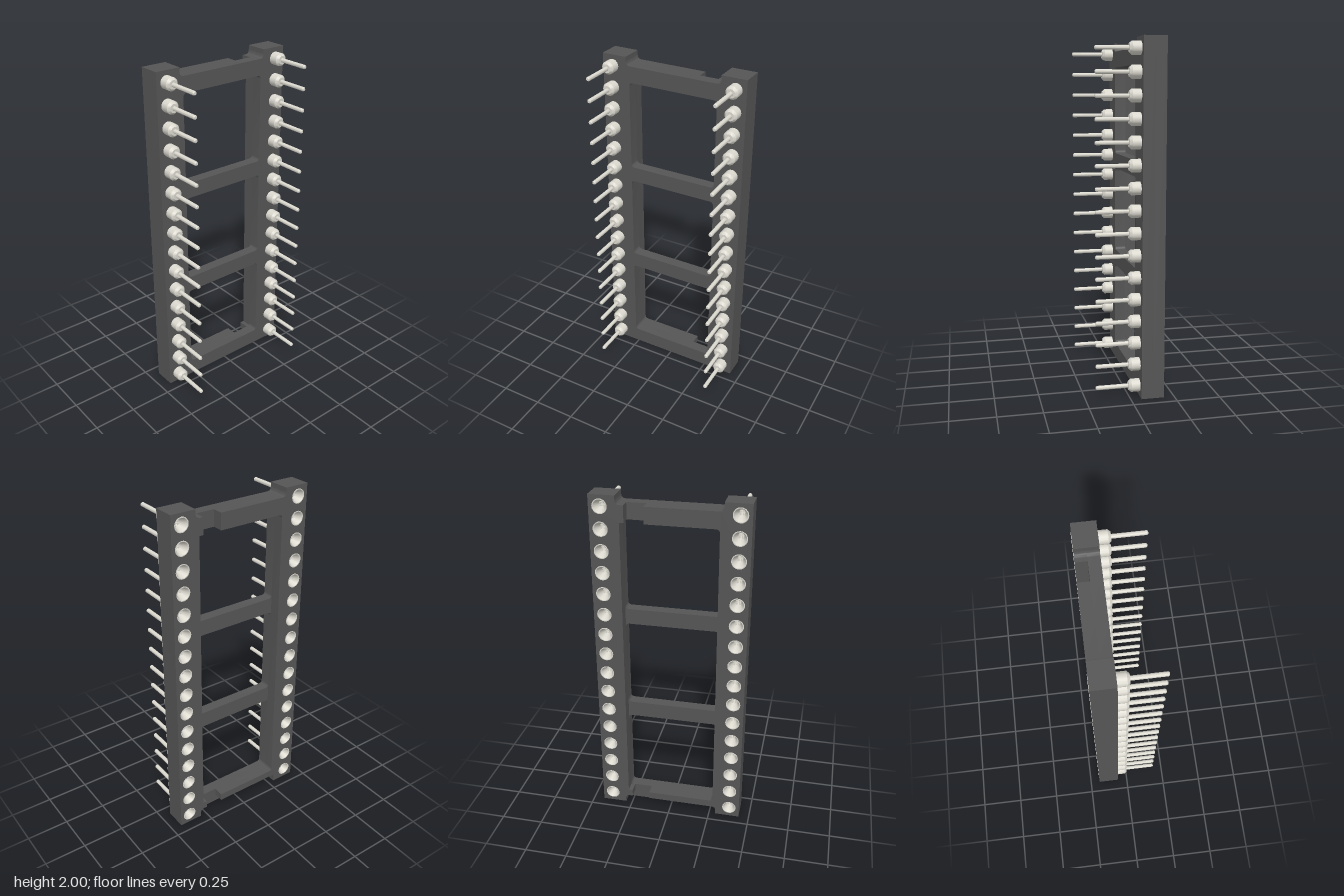
import * as THREE from 'three';
import { toCreasedNormals } from 'three/addons/utils/BufferGeometryUtils.js';

const BACK = -0.19, MID = -0.125, FRONT = -0.06; // depth layers of the frame
const PIN_X = 0.375, PINS = 16, PITCH = 0.125;

// Trace a polygon; a third value on a point rounds that corner
function trace(path, pts) {
  const n = pts.length;
  pts.forEach(([x, y, r = 0], i) => {
    const p = new THREE.Vector2(x, y);
    const toward = (q) => new THREE.Vector2(q[0], q[1]).sub(p).setLength(r).add(p);
    const a = toward(pts[(i + n - 1) % n]);
    const b = toward(pts[(i + 1) % n]);
    if (i === 0) path.moveTo(a.x, a.y);
    else path.lineTo(a.x, a.y);
    if (r > 0) path.quadraticCurveTo(x, y, b.x, b.y);
  });
  path.closePath();
  return path;
}

const pinY = (i) => PITCH * (i + 0.5);

function drillRow(shape, x) {
  for (let i = 0; i < PINS; i++) {
    shape.holes.push(new THREE.Path().absarc(x, pinY(i), 0.037, 0, Math.PI * 2, true));
  }
}

function slab(name, shape, z0, z1, material) {
  const geo = new THREE.ExtrudeGeometry(shape, { depth: z1 - z0, bevelEnabled: false, curveSegments: 6 });
  geo.translate(0, 0, z0);
  const mesh = new THREE.Mesh(toCreasedNormals(geo, 0.6), material);
  mesh.name = name;
  return mesh;
}

export function createModel() {
  const model = new THREE.Group();
  model.name = 'pinSocket';
  const plastic = new THREE.MeshStandardMaterial({ color: 0x555555 });
  const metal = new THREE.MeshStandardMaterial({ color: 0xdad8ce });

  // Front half of the frame: ladder with three windows and a shallow top notch
  const ladder = trace(new THREE.Shape(), [
    [-0.437, 0], [0.437, 0], [0.437, 2], [0.29, 2],
    [0.29, 1.95, 0.025], [-0.29, 1.95, 0.025], [-0.29, 2], [-0.437, 2],
  ]);
  for (const [y0, y1] of [[0.095, 0.62], [0.715, 1.238], [1.33, 1.855]]) {
    ladder.holes.push(trace(new THREE.Path(), [
      [-0.27, y0, 0.022], [-0.27, y1, 0.022], [0.27, y1, 0.022], [0.27, y0, 0.022],
    ]));
  }
  drillRow(ladder, PIN_X);
  drillRow(ladder, -PIN_X);
  model.add(slab('frontFrame', ladder, MID, FRONT, plastic));

  // Back half: left rail with short stubs beside the key slots
  const leftRail = trace(new THREE.Shape(), [
    [0.437, 0], [0.437, 2], [0.29, 2], [0.29, 1.95, 0.025], [0.245, 1.95], [0.245, 1.855],
    [0.27, 1.855], [0.27, 0.095], [0.245, 0.095], [0.245, 0.05], [0.29, 0.05, 0.025], [0.29, 0],
  ]);
  drillRow(leftRail, PIN_X);
  model.add(slab('leftRail', leftRail, BACK, MID, plastic));

  // Back half: right rail carrying the thick part of the end bars
  const rightRail = trace(new THREE.Shape(), [
    [-0.437, 0], [-0.29, 0], [-0.29, 0.05, 0.025], [0.135, 0.05], [0.135, 0.095],
    [-0.27, 0.095, 0.022], [-0.27, 1.855, 0.022], [0.135, 1.855], [0.135, 1.95],
    [-0.29, 1.95, 0.025], [-0.29, 2], [-0.437, 2],
  ]);
  drillRow(rightRail, -PIN_X);
  model.add(slab('rightRail', rightRail, BACK, MID, plastic));

  // Turned pin: funnel socket, rim, sleeve, taper, thin leg
  const profile = [
    [0, -0.06], [0.015, -0.06], [0.015, -0.135], [0.034, -0.188], [0.037, -0.192], [0.042, -0.192],
    [0.042, -0.189], [0.037, -0.189], [0.037, -0.01], [0.025, 0.004], [0.012, 0.004],
    [0.012, 0.184], [0.008, 0.19], [0, 0.19],
  ].map(([r, y]) => new THREE.Vector2(r, y));
  const pinGeo = toCreasedNormals(new THREE.LatheGeometry(profile, 20).rotateX(Math.PI / 2), 0.5);
  // Spring finger gripping inside the socket
  const fingerGeo = new THREE.BoxGeometry(0.01, 0.008, 0.05);

  for (const side of [1, -1]) {
    const row = new THREE.Group();
    row.name = side > 0 ? 'leftPinRow' : 'rightPinRow';
    for (let i = 0; i < PINS; i++) {
      const pin = new THREE.Group();
      pin.name = 'pin';
      pin.position.set(side * PIN_X, pinY(i), 0);
      const body = new THREE.Mesh(pinGeo, metal);
      body.name = 'pinBody';
      pin.add(body);
      for (let k = 0; k < 4; k++) {
        const a = (k * Math.PI) / 2 + Math.PI / 4;
        const finger = new THREE.Mesh(fingerGeo, metal);
        finger.name = 'springFinger';
        finger.position.set(Math.cos(a) * 0.012, Math.sin(a) * 0.012, -0.12);
        finger.rotation.z = a;
        pin.add(finger);
      }
      row.add(pin);
    }
    model.add(row);
  }
  return model;
}
